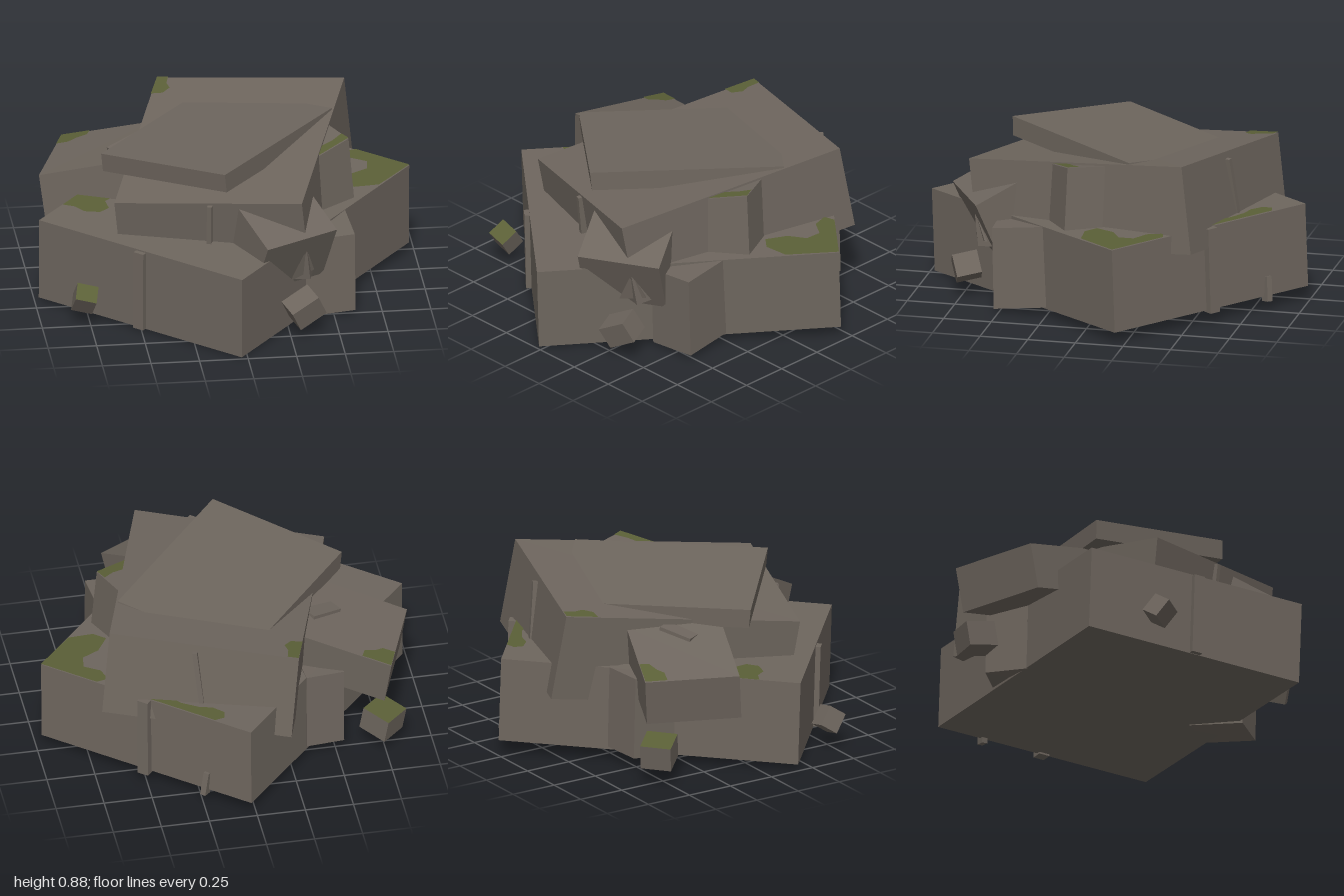
import * as THREE from 'three';

export function createModel() {
  const group = new THREE.Group();
  group.name = 'rockPile';
  const rock = new THREE.MeshStandardMaterial({ color: 0x6e665e });
  rock.name = 'weatheredStone';
  const moss = new THREE.MeshStandardMaterial({ color: 0x5b6037 });
  moss.name = 'moss';

  function add(name, geometry, material) {
    const mesh = new THREE.Mesh(geometry, material);
    mesh.name = name;
    group.add(mesh);
    return mesh;
  }

  // Flat-faced geometry from polygons (each a list of [x, y, z])
  function facets(polygons) {
    const p = [];
    for (const f of polygons)
      for (let i = 1; i < f.length - 1; i++) p.push(...f[0], ...f[i], ...f[i + 1]);
    const g = new THREE.BufferGeometry();
    g.setAttribute('position', new THREE.Float32BufferAttribute(p, 3));
    g.computeVertexNormals();
    return g;
  }

  // Skewed block: four top corners (clockwise from above) swept along a drop vector
  function block(name, top, drop) {
    const bottom = top.map((c) => c.map((v, k) => v + drop[k]));
    const faces = [[...top].reverse(), bottom];
    for (let i = 0; i < 4; i++) {
      const j = (i + 1) % 4;
      faces.push([top[i], top[j], bottom[j], bottom[i]]);
    }
    add(name, facets(faces), rock);
    return top;
  }

  // Thin moss patch with a wavy outline lying on the top of a block
  function patch(name, top, outline, lift = 0.005) {
    const [a, b, c] = top.map((t) => new THREE.Vector3(...t));
    const plane = new THREE.Plane().setFromCoplanarPoints(c, b, a);
    const n = plane.normal;
    const shape = new THREE.Shape(outline.map(([x, z]) => new THREE.Vector2(x, -z)));
    const g = new THREE.ShapeGeometry(shape);
    g.rotateX(-Math.PI / 2);
    const p = g.attributes.position;
    for (let i = 0; i < p.count; i++)
      p.setY(i, -(plane.constant + n.x * p.getX(i) + n.z * p.getZ(i)) / n.y + lift);
    g.computeVertexNormals();
    add(name, g, moss);
  }

  function box(name, size, pos, rot, material = rock) {
    const m = add(name, new THREE.BoxGeometry(...size), material);
    m.position.set(...pos);
    m.rotation.set(...rot);
    return m;
  }

  // Main slabs
  const base = block('baseSlab',
    [[0.03, 0.525, -0.98], [0.97, 0.505, -0.185], [-0.03, 0.445, 0.995], [-0.98, 0.47, 0.19]],
    [0, -0.44, -0.015]);
  const middle = block('middleSlab',
    [[-0.26, 0.8, -0.77], [0.67, 0.88, -0.48], [0.31, 0.73, 0.72], [-0.62, 0.65, 0.42]],
    [0.05, -0.45, -0.06]);
  block('capSlab',
    [[-0.01, 0.785, -0.66], [0.57, 0.85, -0.18], [-0.07, 0.85, 0.58], [-0.65, 0.785, 0.1]],
    [0.01, -0.1, -0.005]);
  const side = block('leaningSlab',
    [[-0.77, 0.57, -0.62], [-0.33, 0.7, -0.45], [-0.5, 0.7, 0.015], [-0.94, 0.565, -0.155]],
    [0.03, -0.24, 0.03]);

  // Blocks jutting out of the slabs
  block('frontWedge',
    [[-0.02, 0.69, 0.58], [0.36, 0.69, 0.37], [0.5, 0.54, 0.64], [0.12, 0.54, 0.85]],
    [-0.06, -0.29, -0.11]);
  const knob = block('sideKnob',
    [[0.34, 0.77, 0.09], [0.54, 0.815, -0.05], [0.62, 0.815, 0.13], [0.42, 0.77, 0.27]],
    [0.03, -0.36, 0.01]);
  block('frontColumn',
    [[0.33, 0.465, 0.27], [0.585, 0.48, 0.26], [0.605, 0.46, 0.53], [0.35, 0.445, 0.55]],
    [0.005, -0.43, -0.01]);
  block('backColumn',
    [[-0.54, 0.5, -0.53], [-0.34, 0.51, -0.56], [-0.32, 0.5, -0.3], [-0.56, 0.48, -0.3]],
    [0, -0.43, -0.01]);

  // Narrow ribs and chips on the slab faces
  box('baseFrontRib', [0.06, 0.43, 0.06], [-0.5, 0.235, 0.585], [0.03, -0.7, 0]);
  box('baseBackRib', [0.06, 0.45, 0.06], [0.505, 0.29, -0.595], [0.03, -0.7, 0]);
  box('middleFrontRib', [0.025, 0.23, 0.04], [-0.145, 0.565, 0.56], [0.1, -0.31, 0]);
  box('middleBackRib', [0.025, 0.36, 0.04], [0.235, 0.63, -0.645], [0.1, -0.31, -0.1]);
  box('topChip', [0.18, 0.05, 0.09], [-0.48, 0.665, -0.23], [0, 0.5, 0.2]);
  box('backChip', [0.03, 0.13, 0.05], [0.23, 0.12, -0.825], [0.2, -0.7, 0.2]);

  // Pointed shard leaning on the front
  const [s0, s1, s2, s3] =
    [[0.34, 0.46, 0.68], [0.26, 0.29, 0.69], [0.385, 0.315, 0.62], [0.3, 0.3, 0.54]];
  add('frontShard', facets([[s0, s1, s2], [s0, s2, s3], [s0, s3, s1], [s1, s3, s2]]), rock);

  // Loose stones, two of them with mossy tops
  const mossTop = [rock, rock, moss, rock, rock, rock];
  box('frontStone', [0.16, 0.12, 0.13], [0.32, 0.155, 0.73], [0.2, 0.35, 0.42]);
  box('leftStone', [0.11, 0.11, 0.1], [-0.78, 0.155, 0.49], [0.6, -0.2, -0.15], mossTop);
  box('backStone', [0.16, 0.13, 0.16], [-0.745, 0.17, -0.52], [-0.25, 0.75, 0.2], mossTop);

  // Moss patches
  patch('baseRightMoss', base, [[0.97, -0.185], [0.72, -0.395], [0.66, -0.38], [0.68, -0.3],
    [0.76, -0.25], [0.75, -0.17], [0.66, -0.12], [0.6, -0.02], [0.66, 0.03], [0.79, 0.02]]);
  patch('baseLeftMoss', base, [[-0.75, -0.075], [-0.84, 0.03], [-0.78, 0.06], [-0.74, 0.12],
    [-0.66, 0.14], [-0.61, 0.1], [-0.62, 0.02], [-0.55, -0.04], [-0.6, -0.12]]);
  patch('baseBackMoss', base, [[0.19, -0.842], [0.5, -0.58], [0.42, -0.55], [0.33, -0.66],
    [0.25, -0.71], [0.18, -0.73], [0.13, -0.78], [0.14, -0.83]]);
  patch('middleMoss', middle, [[-0.26, -0.768], [-0.205, -0.752], [-0.22, -0.69],
    [-0.21, -0.64], [-0.25, -0.6], [-0.31, -0.61]]);
  patch('leaningMoss', side, [[-0.77, -0.618], [-0.63, -0.565], [-0.65, -0.52], [-0.71, -0.51],
    [-0.75, -0.49], [-0.81, -0.51]]);
  patch('knobMoss', knob, [[0.62, 0.128], [0.59, 0.07], [0.54, 0.12], [0.45, 0.17],
    [0.39, 0.2], [0.42, 0.268]]);

  return group;
}
